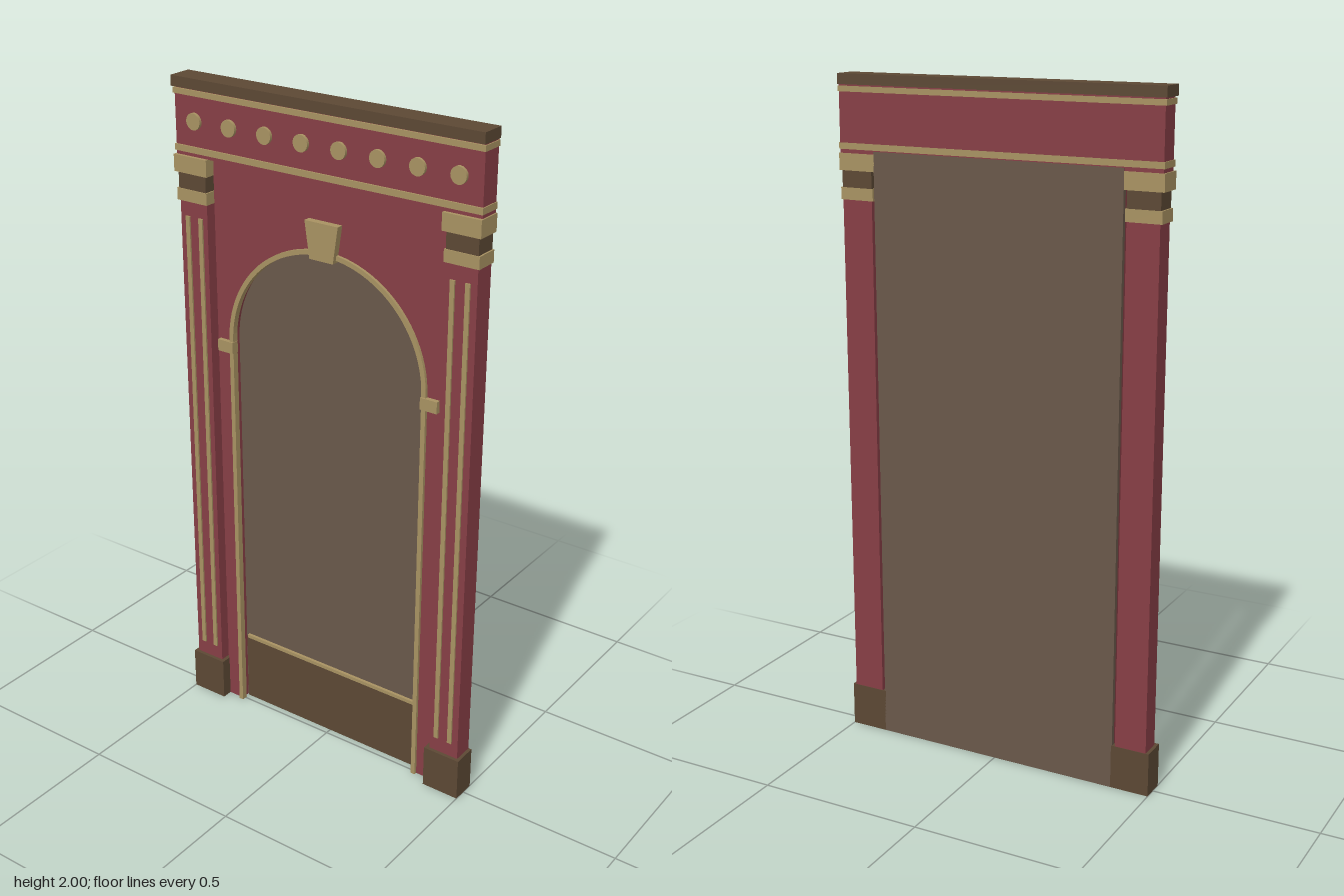
import * as THREE from 'three';

const mat = (color) => new THREE.MeshStandardMaterial({ color });

export function createModel() {
  const model = new THREE.Group();
  model.name = 'archedNiche';
  const red = mat(0x873e45), brown = mat(0x5c4834), stone = mat(0x69584a), gold = mat(0xa89262);
  const BACK = -0.0375;

  const add = (name, geometry, material) => {
    const mesh = new THREE.Mesh(geometry, material);
    mesh.name = name;
    model.add(mesh);
    return mesh;
  };
  // box given by its limits on each axis
  const box = (name, material, x0, x1, y0, y1, z0, z1) =>
    add(name, new THREE.BoxGeometry(x1 - x0, y1 - y0, z1 - z0), material)
      .position.set((x0 + x1) / 2, (y0 + y1) / 2, (z0 + z1) / 2);
  // flat shape extruded from z0 to z1
  const slab = (name, material, shape, z0, z1) =>
    add(name, new THREE.ExtrudeGeometry(shape, { depth: z1 - z0, bevelEnabled: false, curveSegments: 24 }), material)
      .position.z = z0;

  // a band that runs up one side, around the arch and down the other
  const SPRING = 1.25, OUTER = 0.337, INNER = 0.323;
  const traceOpening = (shape, r) => {
    shape.lineTo(r, 0);
    shape.lineTo(r, SPRING);
    shape.absarc(0, SPRING, r, 0, Math.PI, false);
    shape.lineTo(-r, 0);
  };

  // recessed back panel, dado and its rail
  box('backPanel', stone, -0.385, 0.385, 0, 1.787, BACK, -0.024);
  box('dado', brown, -0.325, 0.325, 0, 0.225, -0.024, -0.019);
  box('dadoRail', gold, -0.32, 0.32, 0.223, 0.234, -0.024, -0.015);

  // wall around the arched opening
  const wall = new THREE.Shape();
  wall.moveTo(0.385, 0);
  wall.lineTo(0.385, 1.787);
  wall.lineTo(-0.385, 1.787);
  wall.lineTo(-0.385, 0);
  wall.lineTo(-0.33, 0);
  wall.lineTo(-0.33, SPRING);
  wall.absarc(0, SPRING, 0.33, Math.PI, 0, true);
  wall.lineTo(0.33, 0);
  slab('archWall', red, wall, -0.024, 0.005);

  // arch moulding
  const trim = new THREE.Shape();
  trim.moveTo(INNER, 0);
  traceOpening(trim, OUTER);
  trim.lineTo(-INNER, 0);
  trim.lineTo(-INNER, SPRING);
  trim.absarc(0, SPRING, INNER, Math.PI, 0, true);
  trim.lineTo(INNER, 0);
  slab('archMoulding', gold, trim, -0.005, 0.014);

  // keystone
  const key = new THREE.Shape([
    new THREE.Vector2(-0.039, 1.563), new THREE.Vector2(0.039, 1.563),
    new THREE.Vector2(0.055, 1.67), new THREE.Vector2(-0.055, 1.67),
  ]);
  slab('keystone', gold, key, -0.005, 0.026);

  // pilasters and imposts, mirrored left and right
  for (const [side, s] of [['left', 1], ['right', -1]]) {
    const sideBox = (name, material, a, b, ...rest) =>
      box(side + name, material, Math.min(a * s, b * s), Math.max(a * s, b * s), ...rest);
    sideBox('Plinth', brown, 0.382, 0.5, 0, 0.133, BACK, 0.0375);
    sideBox('Pilaster', red, 0.394, 0.49, 0.133, 1.647, BACK + 0.001, 0.027);
    for (const x of [0.417, 0.463])
      sideBox('Fillet', gold, x - 0.007, x + 0.007, 0.18, 1.603, 0.026, 0.032);
    sideBox('CapitalCollar', gold, 0.39, 0.496, 1.647, 1.682, BACK, 0.033);
    sideBox('CapitalNeck', brown, 0.394, 0.491, 1.682, 1.73, BACK + 0.001, 0.03);
    sideBox('CapitalTop', gold, 0.384, 0.5, 1.73, 1.779, BACK, 0.0375);
    sideBox('Impost', gold, 0.322, 0.376, 1.21, 1.245, -0.005, 0.019);
  }

  // entablature
  box('frieze', red, -0.496, 0.496, 1.779, 1.97, BACK + 0.001, 0.027);
  box('lowerMoulding', gold, -0.499, 0.499, 1.79, 1.808, BACK, 0.032);
  box('upperMoulding', gold, -0.499, 0.499, 1.95, 1.966, BACK, 0.032);
  box('cornice', brown, -0.5, 0.5, 1.97, 2, BACK, 0.0375);

  // row of round studs
  for (let i = 0; i < 8; i++) {
    const stud = add('stud', new THREE.CylinderGeometry(0.024, 0.024, 0.012, 16).rotateX(Math.PI / 2), gold);
    stud.position.set((i - 3.5) * 0.122, 1.88, 0.03);
  }
  return model;
}
